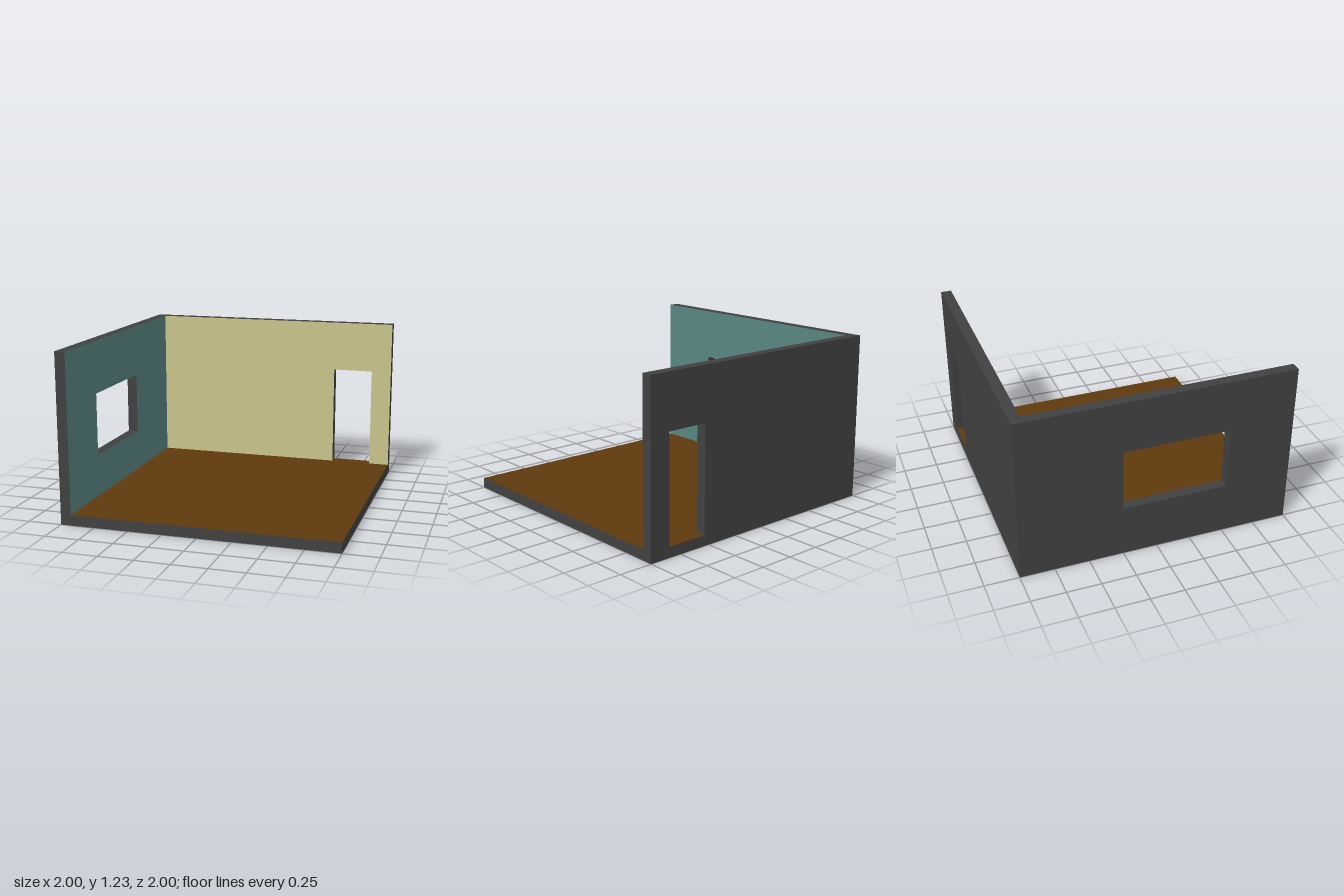
import * as THREE from 'three';

const U = 1 / 13;        // wall and floor thickness
const TOP = 16 * U;      // top of the walls
const HEAD = 11 * U;     // top of the door and window

const material = (name, color) => {
  const m = new THREE.MeshStandardMaterial({ color });
  m.name = name;
  return m;
};

// Extruded wall whose +z lid takes the paint and all other faces the structure colour
function wall(name, shape, structure, paint) {
  const geo = new THREE.ExtrudeGeometry(shape, { depth: U, bevelEnabled: false });
  const [lids, sides] = geo.groups;
  const half = lids.count / 2;
  geo.clearGroups();
  geo.addGroup(lids.start, half, 0);
  geo.addGroup(lids.start + half, half, 1);
  geo.addGroup(sides.start, sides.count, 0);
  const mesh = new THREE.Mesh(geo, [structure, paint]);
  mesh.name = name;
  return mesh;
}

const outline = (points) => new THREE.Shape(points.map(([x, y]) => new THREE.Vector2(x, y)));

export function createModel() {
  const room = new THREE.Group();
  room.name = 'room';

  const grey = material('dark grey structure', 0x414141);
  const brown = material('brown floor', 0x60390c);
  const khaki = material('khaki paint', 0xcac58c);
  const teal = material('teal paint', 0x5a8783);

  // Floor slab, brown on top, also under the doorway
  const floor = new THREE.Mesh(new THREE.BoxGeometry(2, U, 2), [grey, grey, brown, grey, grey, grey]);
  floor.name = 'floor';
  floor.position.y = U / 2;
  room.add(floor);

  // Back wall with the doorway cut up from the floor
  const backShape = outline([
    [-1, U], [7 * U, U], [7 * U, HEAD], [11 * U, HEAD], [11 * U, U], [1, U], [1, TOP], [-1, TOP],
  ]);
  const backWall = wall('backWall', backShape, grey, khaki);
  backWall.position.z = -1;
  room.add(backWall);

  // Side wall with a window; the shape's x runs along -z
  const sideShape = outline([[-1, U], [1 - U, U], [1 - U, TOP], [-1, TOP]]);
  sideShape.holes.push(outline([[-0.515, 5 * U], [-0.515, HEAD], [0.255, HEAD], [0.255, 5 * U]]));
  const sideWall = wall('windowWall', sideShape, grey, teal);
  sideWall.rotation.y = Math.PI / 2;
  sideWall.position.x = -1;
  room.add(sideWall);

  return room;
}
